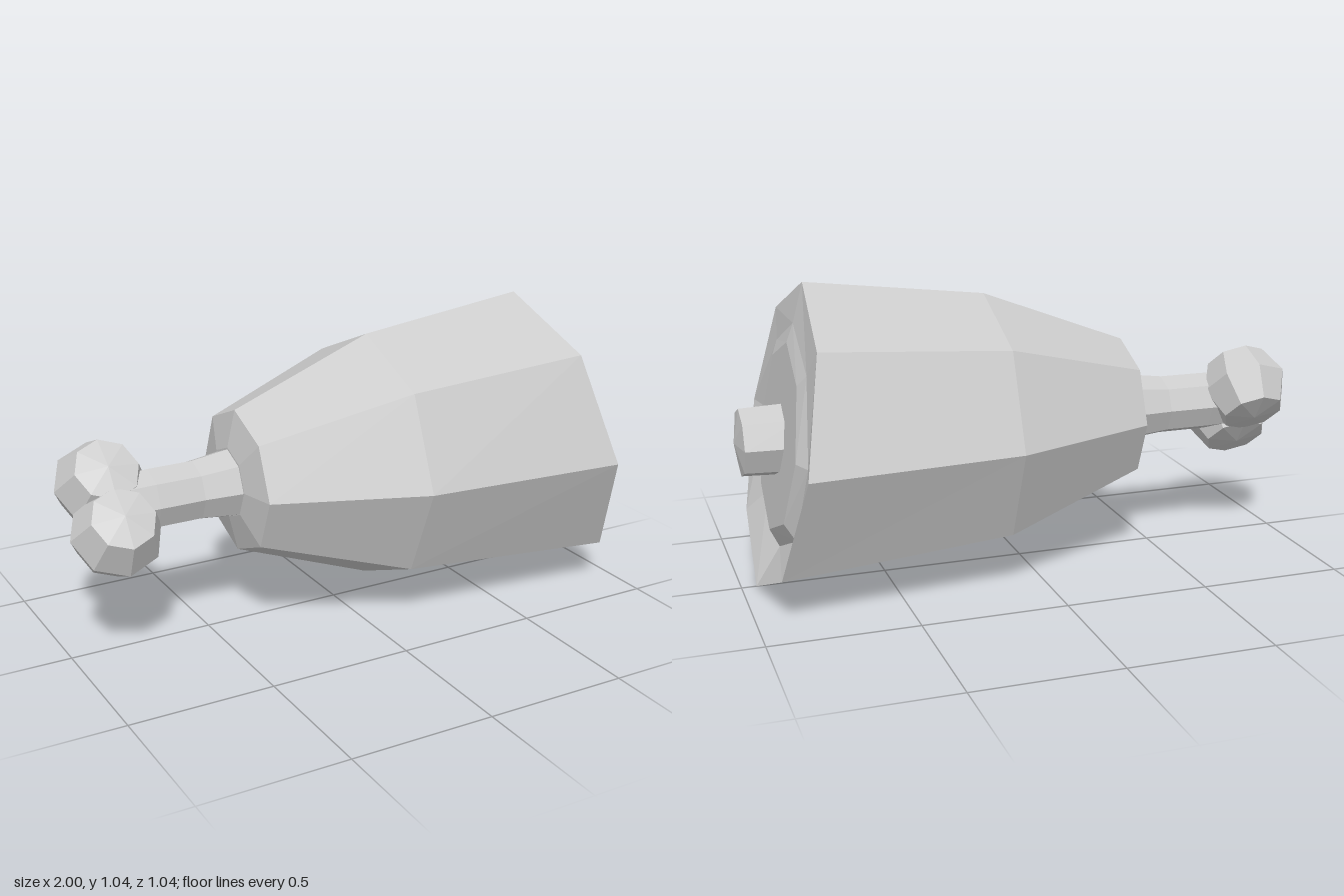
import * as THREE from 'three';

const SIDES = 8;
const material = new THREE.MeshStandardMaterial({ color: 0xcccccc, flatShading: true });

// Skin octagonal rings along x. Each ring: [x, centreY, radius, tilt],
// where tilt shifts x in proportion to the height above the ring centre.
function loft(name, rings) {
  const point = ([x, y, r, tilt = 0], j) => {
    const a = (j / SIDES) * Math.PI * 2;
    const h = r * Math.cos(a);
    return [x + tilt * h, y + h, r * Math.sin(a)];
  };
  const pos = [];
  for (let i = 0; i < rings.length - 1; i++) {
    const [r0, r1] = [rings[i], rings[i + 1]];
    for (let j = 0; j < SIDES; j++) {
      const a = point(r0, j), c = point(r0, j + 1);
      const b = point(r1, j), d = point(r1, j + 1);
      if (r0[2] > 0) pos.push(...a, ...c, ...b);
      if (r1[2] > 0) pos.push(...c, ...d, ...b);
    }
  }
  const geo = new THREE.BufferGeometry();
  geo.setAttribute('position', new THREE.Float32BufferAttribute(pos, 3));
  geo.computeVertexNormals();
  const mesh = new THREE.Mesh(geo, material);
  mesh.name = name;
  return mesh;
}

// Faceted knuckle with a flattened cap at each pole
function knuckle(name, y, z) {
  const profile = [[0, -0.13], [0.11, -0.11], [0.157, 0], [0.11, 0.11], [0, 0.13]];
  const geo = new THREE.LatheGeometry(profile.map(p => new THREE.Vector2(...p)), SIDES);
  const mesh = new THREE.Mesh(geo, material);
  mesh.name = name;
  mesh.position.set(-0.843, y, z);
  mesh.rotation.x = Math.PI / 4;
  return mesh;
}

export function createModel() {
  const group = new THREE.Group();
  group.name = 'meatOnBone';

  // Meat: narrow shoulder, swelling body, slanted cut with a dished rim and raised centre
  group.add(loft('meat', [
    [-0.41, 0.517, 0],
    [-0.41, 0.517, 0.125],
    [-0.38, 0.517, 0.253],
    [0.13, 0.517, 0.449],
    [0.85, 0.521, 0.521, -0.19],
    [0.825, 0.521, 0.386, -0.1],
    [0.853, 0.523, 0.322, -0.133],
    [0.853, 0.523, 0],
  ]));

  // Shank of the bone between meat and knuckles
  group.add(loft('boneShank', [
    [-0.84, 0.513, 0],
    [-0.84, 0.513, 0.1],
    [-0.7, 0.513, 0.105],
    [-0.54, 0.513, 0.105],
    [-0.4, 0.515, 0.122],
  ]));

  // Bone stub poking out of the cut
  group.add(loft('boneStub', [
    [0.8, 0.514, 0.124],
    [0.98, 0.515, 0.117],
    [1.0, 0.515, 0],
  ]));

  group.add(knuckle('upperKnuckle', 0.569, -0.067));
  group.add(knuckle('lowerKnuckle', 0.444, 0.064));
  return group;
}
